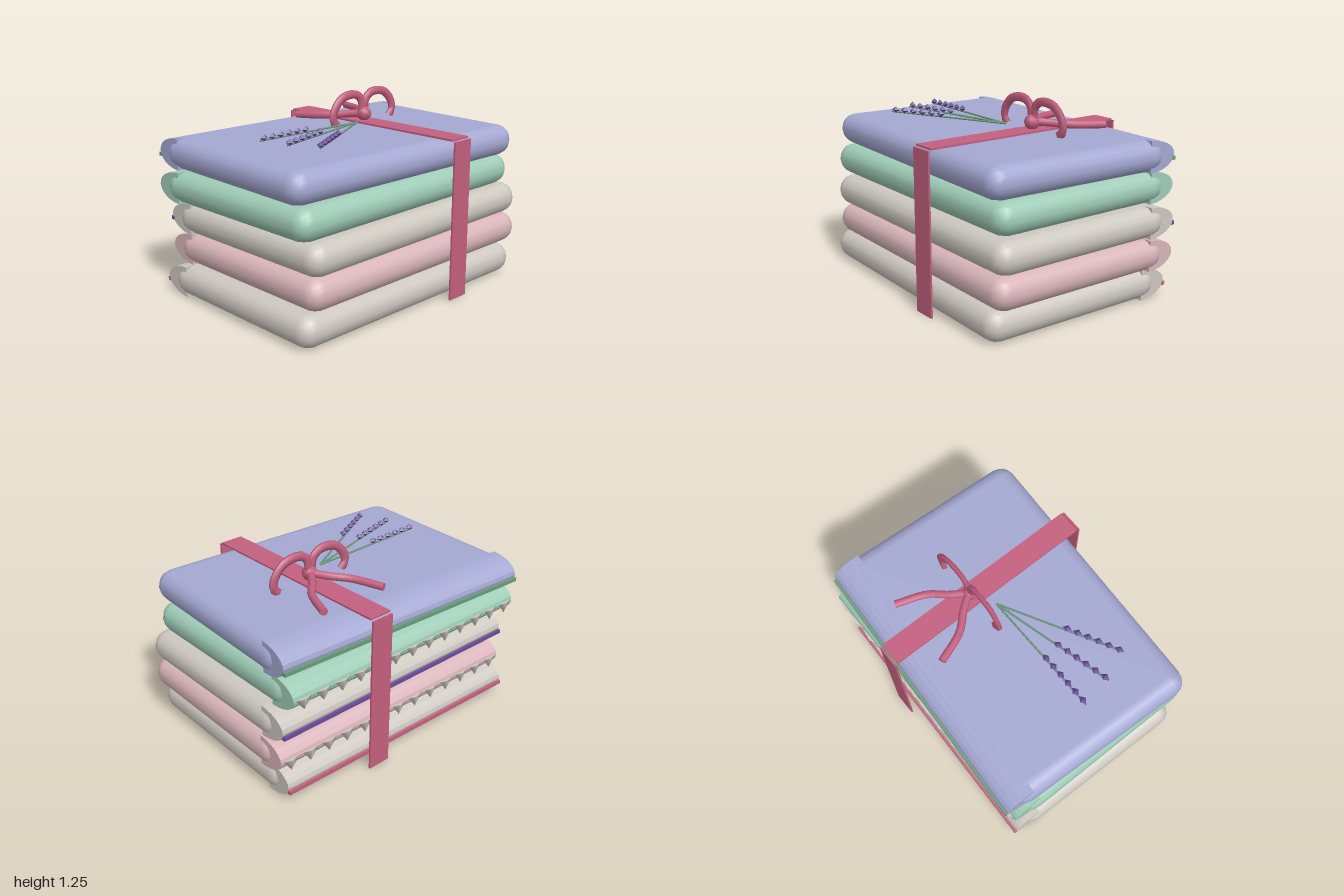
import * as THREE from 'three';
import { RoundedBoxGeometry } from 'three/addons/geometries/RoundedBoxGeometry.js';

const mat = (name, color) => {
  const m = new THREE.MeshStandardMaterial({ color });
  m.name = name;
  return m;
};

export function createModel() {
  const root = new THREE.Group();
  root.name = 'foldedClothStack';

  const linen = mat('linen', 0xcdc8c0);
  const pink = mat('palePink', 0xd9b5ba);
  const mint = mat('mint', 0x9fccb7);
  const periwinkle = mat('periwinkle', 0xa5a9d3);
  const rose = mat('roseRibbon', 0xc4607f);
  const purple = mat('flowerPurple', 0x6a4f9c);
  const green = mat('stemGreen', 0x6b9c7a);

  const add = (parent, name, geometry, material, x = 0, y = 0, z = 0) => {
    const m = new THREE.Mesh(geometry, material);
    m.name = name;
    m.position.set(x, y, z);
    parent.add(m);
    return m;
  };
  const V = (x, y, z) => new THREE.Vector3(x, y, z);

  // Folded cloths: soft slab, rolled back fold, and either a piped or pointed trim
  const H = 0.205;
  const slab = new RoundedBoxGeometry(1.9, H, 1.285, 2, 0.1);
  const foldShape = new THREE.Shape();
  foldShape.absellipse(0.52, 0, 0.19, 0.1, -Math.PI / 2, Math.PI / 2, false);
  const fold = new THREE.ExtrudeGeometry(foldShape, { depth: 1.85, bevelEnabled: false, curveSegments: 6 });
  fold.rotateY(Math.PI / 2).translate(-0.925, 0, 0);
  const piping = new THREE.BoxGeometry(1.85, 0.024, 0.028);
  const point = new THREE.ConeGeometry(0.055, 0.075, 4).rotateX(Math.PI).scale(1, 1, 0.25);

  const cloths = [
    { material: linen, x: -0.03, z: 0.055, turn: -0.025, piping: rose },
    { material: pink, x: 0.025, z: 0.055, turn: -0.02 },
    { material: linen, x: 0.022, z: 0.055, turn: -0.009, piping: purple },
    { material: mint, x: -0.03, z: 0.015, turn: -0.01 },
    { material: periwinkle, x: -0.023, z: 0.017, turn: -0.049, piping: green },
  ];
  cloths.forEach((c, i) => {
    const g = new THREE.Group();
    g.name = 'cloth' + (i + 1);
    g.position.set(c.x, H * (i + 0.5), c.z);
    g.rotation.y = c.turn;
    root.add(g);
    add(g, 'clothBody', slab, c.material);
    add(g, 'backFold', fold, c.material);
    if (c.piping) {
      add(g, 'pipedTrim', piping, c.piping, 0, -0.027, -0.71);
    } else {
      for (let k = 0; k < 13; k++) add(g, 'pointedTrim', point, linen, (k - 6) * 0.142, -0.033, -0.712);
    }
  });

  // Ribbon band: front, back and top strips
  const rx = 0.263, rw = 0.155;
  add(root, 'ribbonFront', new THREE.BoxGeometry(rw, 1.025, 0.012), rose, rx, 0.5125, 0.741);
  add(root, 'ribbonBack', new THREE.BoxGeometry(rw, 1.025, 0.012), rose, rx, 0.5125, -0.711);
  add(root, 'ribbonTop', new THREE.BoxGeometry(rw, 0.012, 1.42), rose, rx, 1.033, 0.015);

  // Bow: flattened loops, tails and a knot
  const bow = new THREE.Group();
  bow.name = 'bow';
  bow.position.set(rx, 0, -0.085);
  root.add(bow);
  for (const s of [-1, 1]) {
    const loopPath = new THREE.CatmullRomCurve3([
      V(s * 0.25, 1.03, 0), V(s * 0.285, 1.07, 0), V(s * 0.275, 1.13, 0), V(s * 0.21, 1.2, 0),
      V(s * 0.13, 1.22, 0), V(s * 0.06, 1.21, 0), V(s * 0.02, 1.17, 0), V(s * 0.01, 1.09, 0),
    ]);
    add(bow, 'bowLoop', new THREE.TubeGeometry(loopPath, 14, 0.031, 6).scale(1, 1, 0.55), rose);
    const end = V(s * 0.237, 1.053, -0.395);
    const tailPath = new THREE.CatmullRomCurve3([
      V(0, 1.083, 0), V(s * 0.07, 1.072, -0.1), V(s * 0.16, 1.062, -0.2), end,
    ]);
    add(bow, 'bowTail', new THREE.TubeGeometry(tailPath, 10, 0.025, 8), rose);
    const cap = add(bow, 'bowTailEnd', new THREE.CircleGeometry(0.025, 8), rose, end.x, end.y, end.z);
    cap.lookAt(end.clone().add(tailPath.getTangent(1)).add(bow.position));
    cap.quaternion.setFromUnitVectors(V(0, 0, 1), tailPath.getTangent(1));
  }
  add(bow, 'bowKnot', new THREE.SphereGeometry(0.05, 8, 6), rose, 0, 1.08, 0.005);

  // Flower sprigs: thin stems fanning out, each with a row of buds
  const bud = new THREE.OctahedronGeometry(0.03).scale(1, 0.75, 0.75);
  const sprigs = [
    { tip: V(-0.73, 1.068, 0.01), first: [-0.695, 0.01], last: [-0.36, 0.01] },
    { tip: V(-0.7, 1.068, 0.212), first: [-0.67, 0.205], last: [-0.34, 0.12] },
    { tip: V(-0.62, 1.068, 0.4), first: [-0.595, 0.385], last: [-0.295, 0.23] },
  ];
  for (const sp of sprigs) {
    const stem = new THREE.LineCurve3(V(0.11, 1.055, 0.005), sp.tip);
    add(root, 'flowerStem', new THREE.TubeGeometry(stem, 1, 0.006, 6), green);
    const [ax, az] = sp.first, [bx, bz] = sp.last;
    for (let k = 0; k < 6; k++) {
      const t = k / 5;
      const b = add(root, 'flowerBud', bud, purple, ax + (bx - ax) * t, 1.081, az + (bz - az) * t);
      b.rotation.y = Math.atan2(az - bz, bx - ax);
    }
  }
  return root;
}
